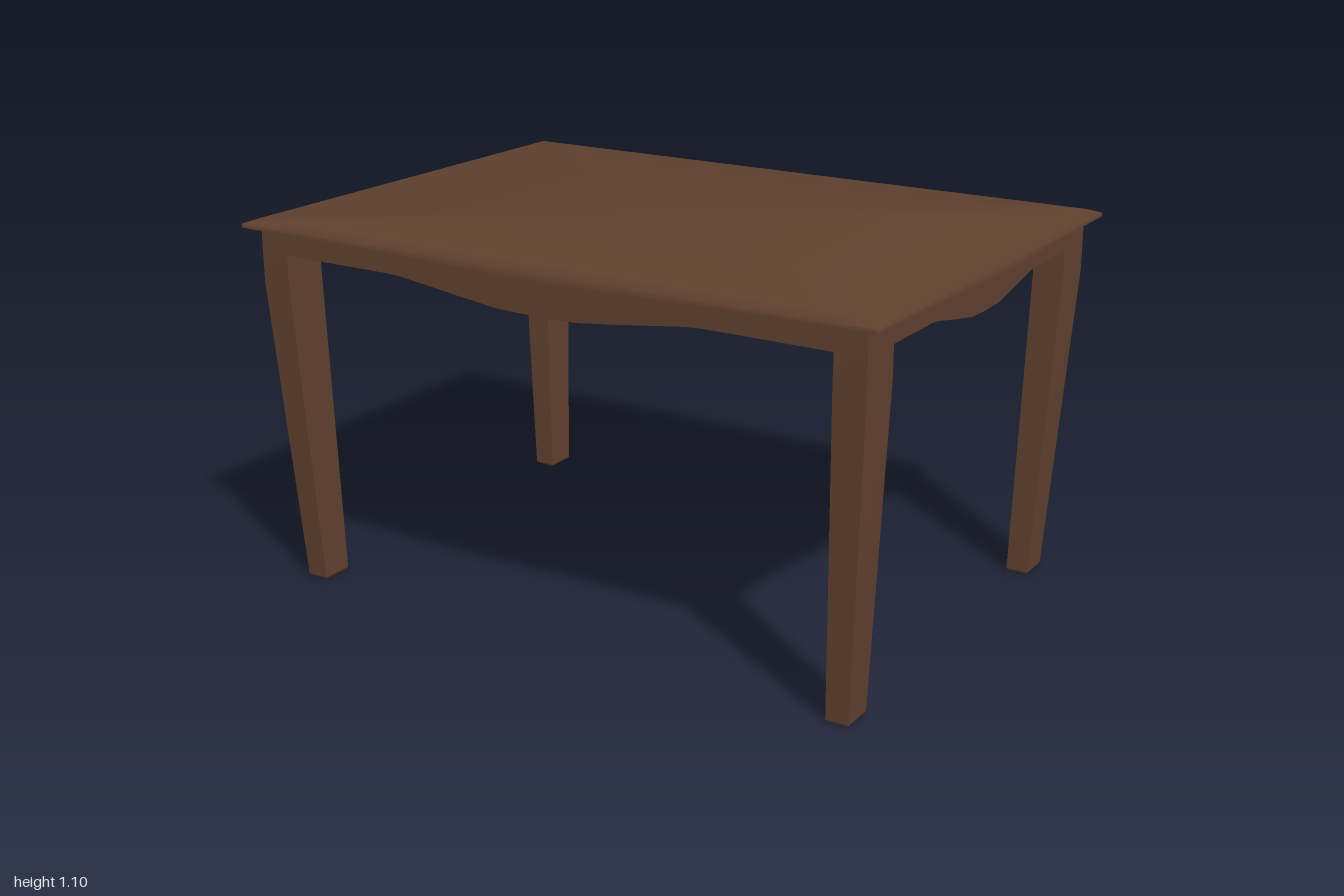
import * as THREE from 'three';
import { toCreasedNormals } from 'three/addons/utils/BufferGeometryUtils.js';

const HALF_X = 0.96, HALF_Z = 0.68;   // outer faces of the leg frame
const IN_X = 0.87, IN_Z = 0.545;      // inner faces of the leg frame
const FRAME_TOP = 1.075, FRAME_BOTTOM = 1.004;

// Skins a stack of [x, y, z] rings (counterclockwise from above, bottom to top) and caps both ends.
function loft(rings, crease) {
  const n = rings[0].length, pos = [], index = [];
  rings.forEach(r => r.forEach(p => pos.push(...p)));
  for (let i = 0; i < rings.length - 1; i++) {
    for (let j = 0; j < n; j++) {
      const a = i * n + j, b = i * n + (j + 1) % n;
      index.push(a, b, b + n, a, b + n, a + n);
    }
  }
  [rings[0], rings[rings.length - 1]].forEach((ring, top) => {
    const c = pos.length / 3, base = top ? (rings.length - 1) * n : 0;
    pos.push(...[0, 1, 2].map(k => ring.reduce((s, p) => s + p[k], 0) / n));
    for (let j = 0; j < n; j++) {
      const a = base + j, b = base + (j + 1) % n;
      index.push(c, top ? a : b, top ? b : a);
    }
  });
  const g = new THREE.BufferGeometry();
  g.setAttribute('position', new THREE.Float32BufferAttribute(pos, 3));
  g.setIndex(index);
  return toCreasedNormals(g, crease);
}

// Rectangle with subdivided sides; height(u) gives y, u running -1..1 along each side
function dividedRect(hx, hz, height, steps = 16) {
  const corners = [[1, 1], [1, -1], [-1, -1], [-1, 1]], out = [];
  corners.forEach(([ax, az], s) => {
    const [bx, bz] = corners[(s + 1) % 4];
    for (let i = 0; i < steps; i++) {
      const t = i / steps;
      out.push([(ax + (bx - ax) * t) * hx, height(2 * t - 1), (az + (bz - az) * t) * hz]);
    }
  });
  return out;
}

// Tapered leg: straight block above, narrowing to the foot
function legGeometry(sx, sz) {
  const ring = (y, ox, ix, oz, iz) => {
    const [x0, x1] = [sx * ox, sx * ix].sort((a, b) => a - b);
    const [z0, z1] = [sz * oz, sz * iz].sort((a, b) => a - b);
    return [[x1, y, z1], [x1, y, z0], [x0, y, z0], [x0, y, z1]];
  };
  return loft([
    ring(0, 0.907, 0.848, 0.622, 0.533),
    ring(0.006, 0.911, 0.844, 0.626, 0.529),
    ring(0.92, HALF_X, 0.868, HALF_Z, 0.543),
    ring(FRAME_TOP, HALF_X, IN_X, HALF_Z, IN_Z),
  ], 0.3);
}

// Rail with a drooping wave in the middle of its lower edge
function apronGeometry(half, wave, depth) {
  const lower = [[1, 0], [0.9, 0.07], [0.7, 0.35], [0.45, 0.7], [0.25, 0.95], [0, 1]]
    .map(([u, d]) => [u * wave, FRAME_BOTTOM - 0.046 * d]);
  const s = new THREE.Shape();
  s.moveTo(-half, FRAME_TOP);
  s.lineTo(-half, FRAME_BOTTOM);
  lower.forEach(([x, y]) => s.lineTo(-x, y));
  lower.slice(0, -1).reverse().forEach(([x, y]) => s.lineTo(x, y));
  s.lineTo(half, FRAME_BOTTOM);
  s.lineTo(half, FRAME_TOP);
  const g = new THREE.ExtrudeGeometry(s, { depth, bevelEnabled: false });
  return toCreasedNormals(g, 0.4);
}

export function createModel() {
  const table = new THREE.Group();
  table.name = 'table';
  const wood = new THREE.MeshStandardMaterial({ color: 0x5f402e });
  const add = (name, geometry) => {
    const m = new THREE.Mesh(geometry, wood);
    m.name = name;
    table.add(m);
    return m;
  };

  // Table top: soft upper edge, lower edge bowing down at the middle of each side
  const bow = u => 1.075 - 0.015 * Math.pow(Math.cos(Math.min(1, Math.abs(u) / 0.8) * Math.PI / 2), 2);
  add('tableTop', loft([
    dividedRect(HALF_X, HALF_Z, bow),
    dividedRect(1, 0.715, bow),
    dividedRect(1, 0.715, () => 1.087),
    dividedRect(0.965, 0.68, () => 1.1),
  ], 1.3));

  // Solid underside, level with the lower edge of the frame
  const underside = new THREE.BoxGeometry(2 * IN_X, FRAME_TOP - FRAME_BOTTOM, 2 * IN_Z);
  add('underside', underside).position.y = (FRAME_TOP + FRAME_BOTTOM) / 2;

  // Four legs
  for (const sx of [1, -1]) {
    for (const sz of [1, -1]) {
      add((sz > 0 ? 'front' : 'back') + (sx > 0 ? 'Left' : 'Right') + 'Leg', legGeometry(sx, sz));
    }
  }

  // Long aprons, front and back
  const long = apronGeometry(IN_X, 0.5, HALF_Z - IN_Z);
  add('frontApron', long).position.z = IN_Z;
  add('backApron', long).position.z = -HALF_Z;

  // Short aprons, left and right
  const short = apronGeometry(IN_Z, 0.33, HALF_X - IN_X).rotateY(Math.PI / 2);
  add('leftApron', short).position.x = IN_X;
  add('rightApron', short).position.x = -HALF_X;

  return table;
}
